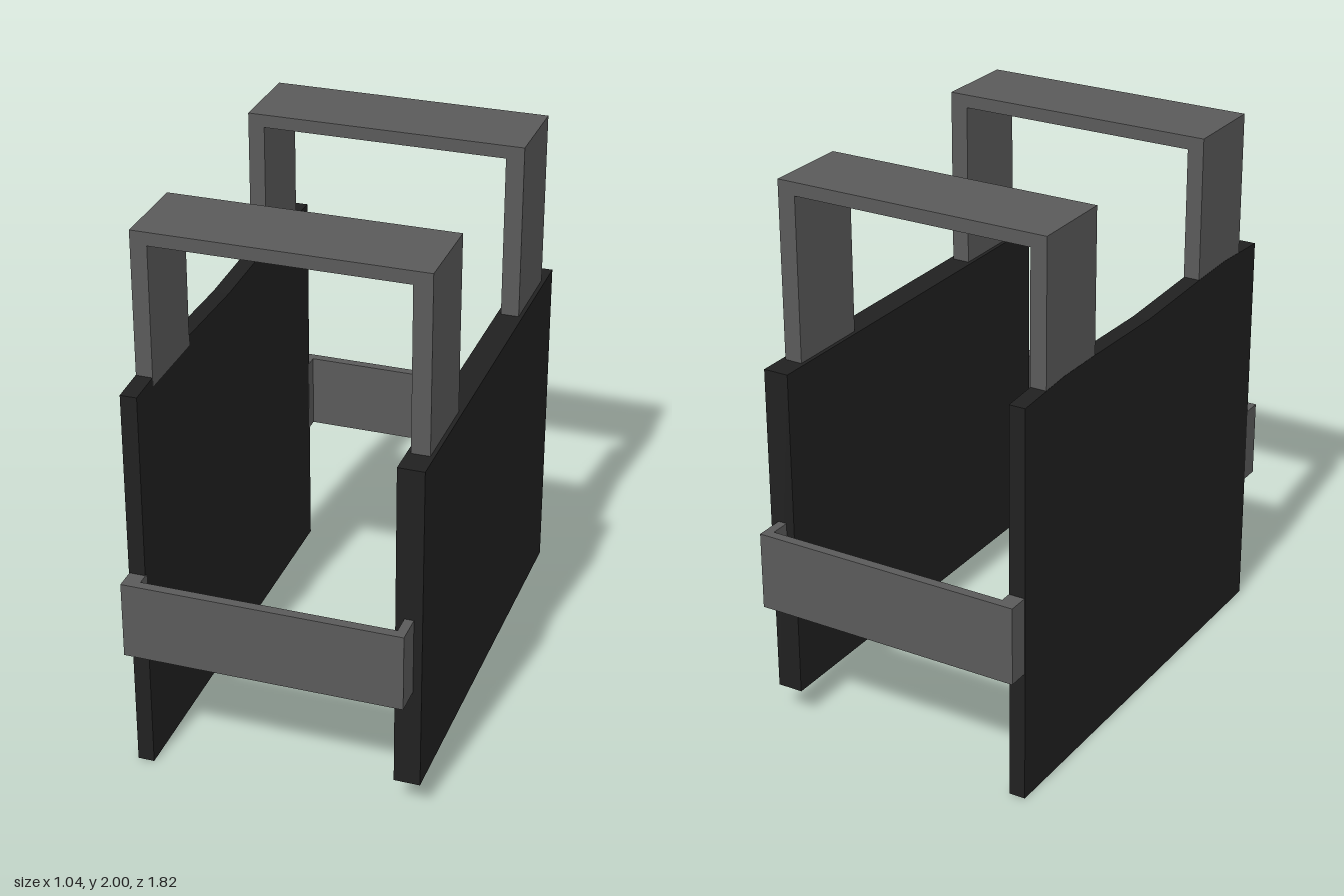
import * as THREE from 'three';

const plateMat = new THREE.MeshStandardMaterial({ color: 0x202020 });
plateMat.name = 'nearBlack';
const strapMat = new THREE.MeshStandardMaterial({ color: 0x5a5a5a });
strapMat.name = 'webbingGrey';

// Extrudes a closed outline by depth along +z
function extrude(points, depth) {
  const shape = new THREE.Shape(points.map(([x, y]) => new THREE.Vector2(x, y)));
  return new THREE.ExtrudeGeometry(shape, { depth, bevelEnabled: false });
}

function addPart(group, name, geometry, material) {
  const mesh = new THREE.Mesh(geometry, material);
  mesh.name = name;
  group.add(mesh);
  return mesh;
}

export function createModel() {
  const model = new THREE.Group();
  model.name = 'plateCarrierVest';

  // Tall panel: gently dipped top edge between the shoulder straps
  const tall = extrude([
    [-0.83, 0], [0.83, 0], [0.83, 1.465], [0.58, 1.48], [0.38, 1.477],
    [0, 1.465], [-0.38, 1.477], [-0.58, 1.48], [-0.83, 1.465],
  ], 0.06);
  tall.rotateY(Math.PI / 2);
  addPart(model, 'tallPanel', tall, plateMat).position.x = -0.522;

  // Short, thicker panel
  const short = new THREE.BoxGeometry(0.095, 1.24, 1.6);
  addPart(model, 'shortPanel', short, plateMat).position.set(0.47, 0.73, 0);

  // Shoulder straps: square arches from panel to panel
  const arch = extrude([
    [-0.521, 1.44], [-0.461, 1.44], [-0.461, 1.952], [0.437, 1.952],
    [0.437, 1.34], [0.503, 1.34], [0.503, 2], [-0.521, 2],
  ], 0.32);
  for (const [side, z] of [['front', 0.377], ['back', -0.697]]) {
    addPart(model, side + 'ShoulderStrap', arch, strapMat).position.z = z;
  }

  // Waist bands: flat U-shaped straps closing the two open ends
  for (const [side, s] of [['front', 1], ['back', -1]]) {
    const band = extrude([
      [-0.52, 0.82], [-0.461, 0.82], [-0.461, 0.873], [0.454, 0.873],
      [0.454, 0.795], [0.487, 0.795], [0.487, 0.908], [-0.52, 0.908],
    ].map(([x, z]) => [x, z * s]), 0.287);
    band.rotateX(Math.PI / 2);
    addPart(model, side + 'WaistBand', band, strapMat).position.y = 0.779;
  }

  return model;
}
